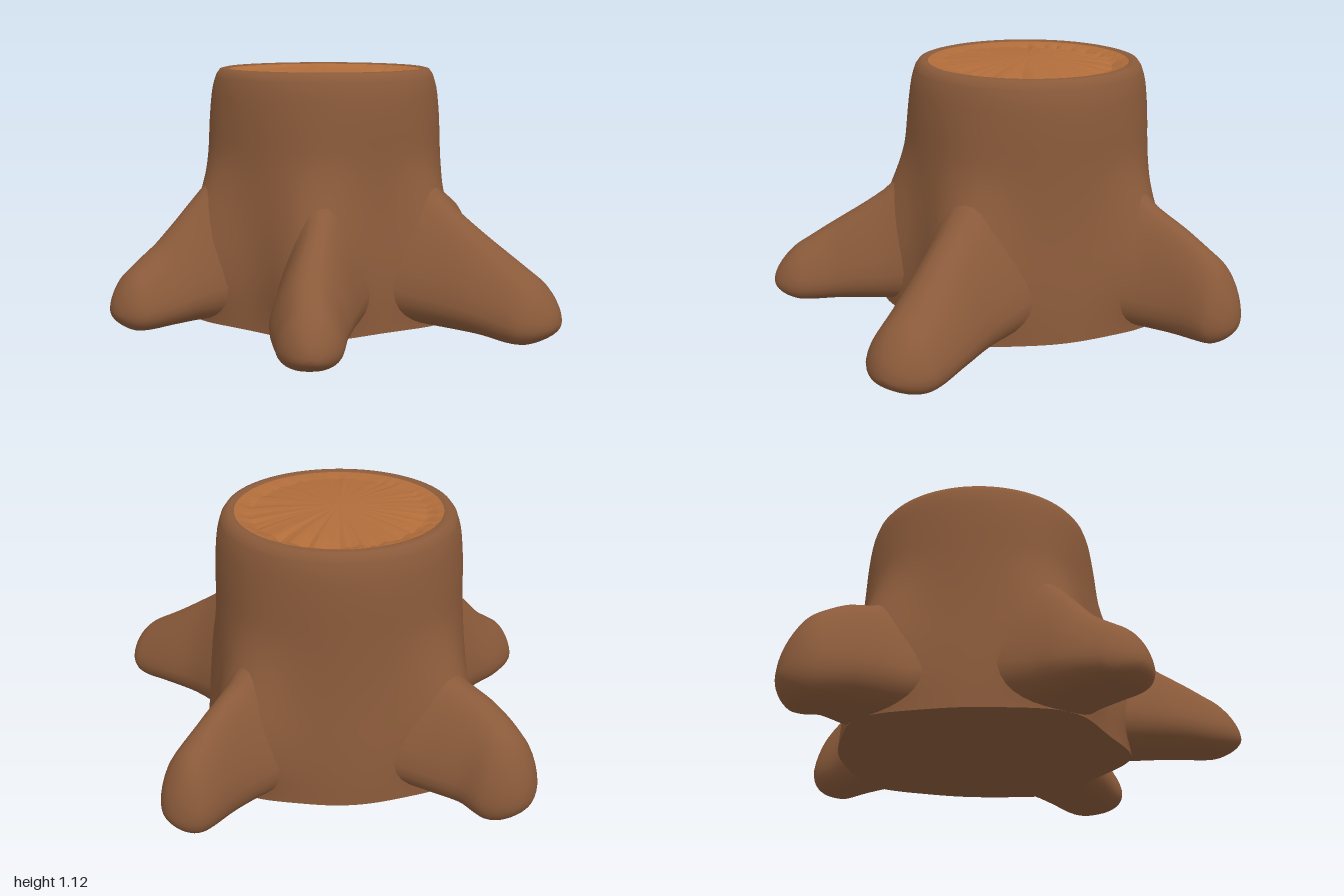
import * as THREE from 'three';

const CX = 0.045, CZ = -0.125; // trunk axis

// Each root runs outwards; a station is [x, z, half width, top y, bottom y]
const ROOTS = {
  frontRoot: [[0.01, 0.18, 0.3, 0.88, 0.04], [-0.07, 0.5, 0.18, 0.54, 0.04], [-0.135, 0.7, 0.16, 0.4, 0.04],
    [-0.155, 0.85, 0.135, 0.31, 0.04], [-0.175, 1.0, 0.11, 0.23, 0.05]],
  frontLeftRoot: [[0.26, 0.07, 0.36, 0.88, 0.03], [0.52, 0.35, 0.22, 0.54, 0.03], [0.67, 0.5, 0.19, 0.4, 0.03],
    [0.77, 0.61, 0.17, 0.31, 0.02], [0.865, 0.72, 0.14, 0.23, 0.04]],
  frontRightRoot: [[-0.26, -0.03, 0.33, 0.88, 0.03], [-0.57, 0.1, 0.2, 0.54, 0.03], [-0.71, 0.17, 0.175, 0.38, 0.03],
    [-0.82, 0.24, 0.145, 0.29, 0.03], [-0.91, 0.29, 0.11, 0.22, 0.05]],
  backLeftRoot: [[0.3, -0.31, 0.33, 0.88, 0.03], [0.56, -0.5, 0.17, 0.56, 0.03], [0.68, -0.59, 0.14, 0.48, 0.03],
    [0.79, -0.67, 0.135, 0.39, 0.03], [0.89, -0.73, 0.115, 0.29, 0.04]],
  backRightRoot: [[-0.1, -0.36, 0.36, 0.88, 0.03], [-0.29, -0.63, 0.23, 0.54, 0.03], [-0.395, -0.77, 0.185, 0.47, 0.02],
    [-0.445, -0.87, 0.165, 0.4, 0], [-0.49, -0.99, 0.13, 0.3, 0.01]],
};

// Skin of closed rings: point(i, j) gives corner j of ring i
function loft(rings, segs, point) {
  const pos = [], index = [];
  for (let i = 0; i < rings; i++) {
    for (let j = 0; j < segs; j++) {
      pos.push(...point(i, j));
      if (i === rings - 1) continue;
      const k = (j + 1) % segs;
      const a = i * segs + j, b = i * segs + k, c = a + segs, d = b + segs;
      index.push(a, b, c, b, d, c);
    }
  }
  const geo = new THREE.BufferGeometry();
  geo.setAttribute('position', new THREE.Float32BufferAttribute(pos, 3));
  geo.setIndex(index);
  geo.computeVertexNormals();
  return geo;
}

// Directions of the roots, used for the buttress ridges on the trunk
const rootAngles = Object.values(ROOTS).map((s) => Math.atan2(-(s[2][1] - CZ), s[2][0] - CX));

// Swelling of the trunk that blends into each root, fading at the foot and towards the top
function ridge(theta, y) {
  const step = THREE.MathUtils.smoothstep;
  const low = (1 - step(y, 0.3, 0.78)) * (0.35 + 0.65 * step(y, 0.03, 0.25));
  const high = 1 - step(y, 0.5, 1.05);
  let sum = 0;
  for (const a of rootAngles) {
    const d = Math.atan2(Math.sin(theta - a), Math.cos(theta - a));
    sum += Math.exp(-((d / 0.3) ** 2));
  }
  return sum * (0.1 * low + 0.024 * high) - 0.006 * high;
}

const trunkCurve = new THREE.SplineCurve([[0.605, 0.03], [0.597, 0.15], [0.58, 0.3], [0.56, 0.45], [0.544, 0.6],
  [0.532, 0.75], [0.523, 0.9], [0.509, 1.02], [0.49, 1.085]].map((p) => new THREE.Vector2(...p)));

function trunkGeometry() {
  // side wall, then the rounded lip
  const lip = [[0.474, 1.107], [0.455, 1.112], [0.435, 1.105]];
  const profile = [...trunkCurve.getPoints(26).map((p) => [p.x, p.y]), ...lip];
  const segs = 120;
  return loft(profile.length, segs, (i, j) => {
    const t = (j / segs) * Math.PI * 2;
    const [r0, y] = profile[i];
    const r = r0 + ridge(t, y);
    return [CX + r * Math.cos(t), y, CZ - r * Math.sin(t)];
  });
}

function rootGeometry(stations) {
  const path = new THREE.CatmullRomCurve3(stations.map((s) => new THREE.Vector3(s[0], 0, s[1])));
  const size = new THREE.CatmullRomCurve3(stations.map((s) => new THREE.Vector3(s[2], s[3], s[4])));
  const rings = 32, segs = 32;
  return loft(rings, segs, (i, j) => {
    const t = 1 - (1 - i / (rings - 1)) ** 1.7;
    const p = path.getPoint(t), d = path.getTangent(t), { x: w, y: top, z: bottom } = size.getPoint(t);
    // rounded tip
    const k = Math.max(0, (t - 0.78) / 0.22);
    const f = Math.sqrt(Math.max(0, 1 - k * k));
    const a = (j / segs) * Math.PI * 2, u = Math.cos(a), v = Math.sin(a);
    // section: flattened underneath, narrowing towards the ridge, more so by the trunk
    const su = Math.sign(u) * Math.abs(u) ** 0.85, sv = v < 0 ? -(Math.abs(v) ** 0.8) : v;
    const pinch = THREE.MathUtils.lerp(0.45, 0.15, t);
    const mid = bottom + THREE.MathUtils.lerp(0.28, 0.4, t) * (top - bottom);
    const y = mid + f * sv * (v > 0 ? top - mid : mid - bottom);
    const side = f * w * su * (v > 0 ? 1 - pinch * v : 1);
    return [p.x + d.z * side, y, p.z - d.x * side];
  });
}

// Sawn face: raised heart, splintered hollow, level edge
function cutGeometry() {
  const rows = [1, 0.93, 0.84, 0.72, 0.55, 0.3, 0], depth = [0, 0.35, 1, 0.7, 0.4, 0.15, 0];
  const segs = 90;
  const hash = (n) => { const s = Math.sin(n * 127.1) * 43758.5; return s - Math.floor(s); };
  return loft(rows.length, segs, (i, j) => {
    const t = (j / segs) * Math.PI * 2, r = 0.437 * rows[i];
    const back = 0.65 + 0.35 * Math.sin(t + 0.5);
    const y = 1.105 + 0.01 * (1 - rows[i]) - 0.04 * depth[i] * back * (0.4 + 0.6 * hash(j + 1));
    return [CX + r * Math.cos(t), y, CZ - r * Math.sin(t)];
  });
}

function baseGeometry() {
  const segs = 120;
  return loft(2, segs, (i, j) => {
    const t = (j / segs) * Math.PI * 2, r = i * (0.605 + ridge(t, 0.03));
    return [CX + r * Math.cos(t), 0.03, CZ - r * Math.sin(t)];
  });
}

export function createModel() {
  const group = new THREE.Group();
  group.name = 'treeStump';
  const bark = new THREE.MeshStandardMaterial({ color: 0x8a5a3a });
  const wood = new THREE.MeshStandardMaterial({ color: 0xb06c3a, flatShading: true });
  const add = (name, geo, mat) => {
    const mesh = new THREE.Mesh(geo, mat);
    mesh.name = name;
    group.add(mesh);
  };
  add('trunk', trunkGeometry(), bark);
  add('base', baseGeometry(), bark);
  add('cutFace', cutGeometry(), wood);
  for (const [name, stations] of Object.entries(ROOTS)) add(name, rootGeometry(stations), bark);
  return group;
}
